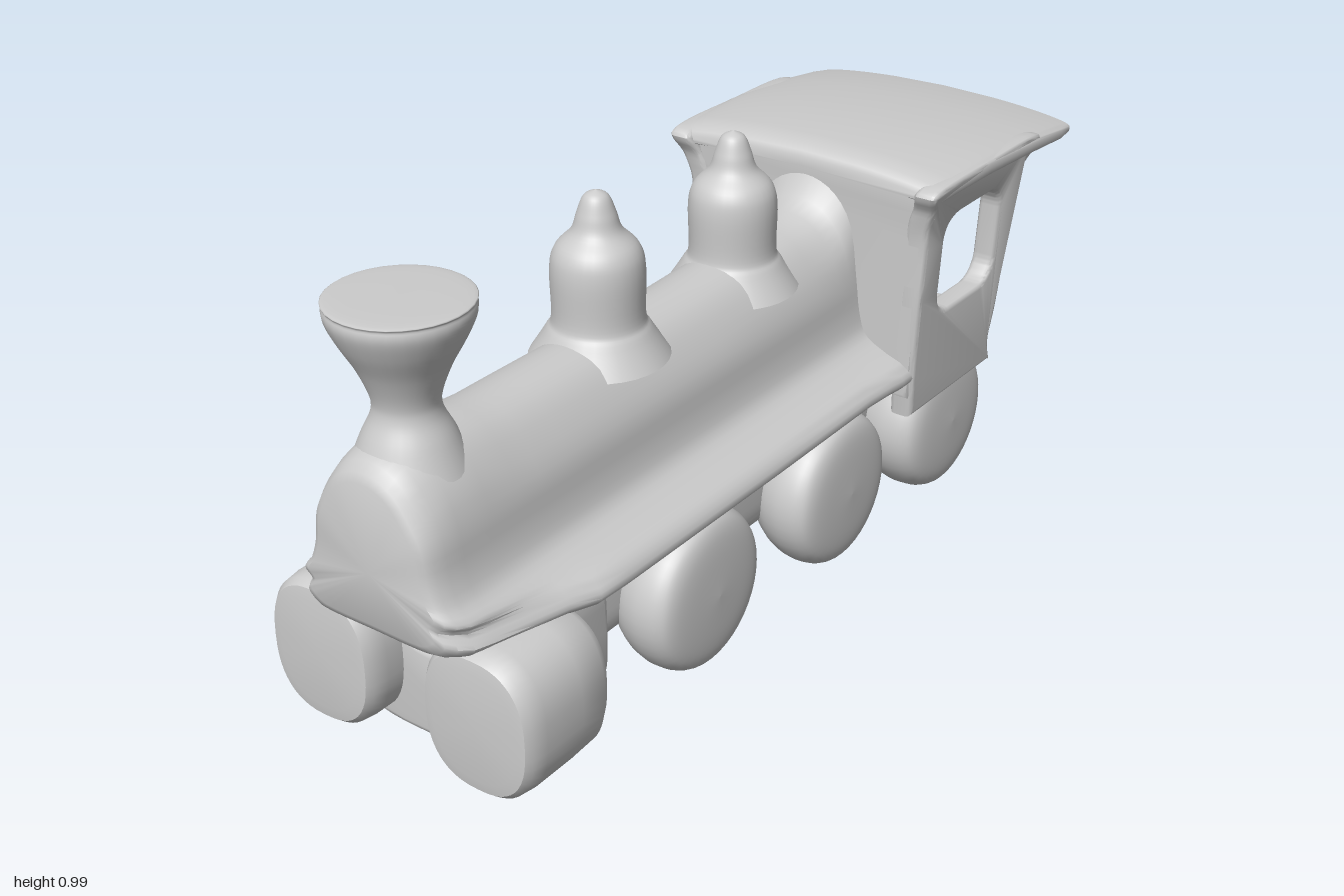
import * as THREE from 'three';
import { toCreasedNormals } from 'three/addons/utils/BufferGeometryUtils.js';
import { RoundedBoxGeometry } from 'three/addons/geometries/RoundedBoxGeometry.js';

const material = new THREE.MeshStandardMaterial({ color: 0xcccccc, roughness: 0.8 });

function add(parent, name, geometry, x = 0, y = 0, z = 0) {
  const mesh = new THREE.Mesh(geometry, material);
  mesh.name = name;
  mesh.position.set(x, y, z);
  parent.add(mesh);
  return mesh;
}

// Skin closed rings (counter-clockwise in xy) along rising z, with end caps
function loft(stations, ring, crease = 0.7) {
  const pos = [], idx = [];
  const rings = stations.map((s) => ring(...s));
  const n = rings[0].length;
  rings.forEach((r, i) => r.forEach((p) => pos.push(p.x, p.y, stations[i][0])));
  for (let i = 0; i < rings.length - 1; i++) {
    for (let j = 0; j < n; j++) {
      const k = (j + 1) % n;
      const a = i * n + j, b = i * n + k, c = b + n, d = a + n;
      idx.push(a, b, c, a, c, d);
    }
  }
  for (const end of [0, rings.length - 1]) {
    const r = rings[end], centre = pos.length / 3;
    pos.push(0, 0, stations[end][0]);
    for (const p of r) {
      pos[centre * 3] += p.x / n;
      pos[centre * 3 + 1] += p.y / n;
    }
    for (let j = 0; j < n; j++) {
      const a = end * n + j, b = end * n + (j + 1) % n;
      if (end) idx.push(centre, a, b); else idx.push(centre, b, a);
    }
  }
  const g = new THREE.BufferGeometry();
  g.setAttribute('position', new THREE.Float32BufferAttribute(pos, 3));
  g.setIndex(idx);
  return toCreasedNormals(g, crease);
}

// Rounded ring: power 2 is an ellipse, higher is boxier
function superellipse(cx, cy, rx, ry, power = 2.4, n = 48) {
  return Array.from({ length: n }, (_, i) => {
    const a = (i / n) * Math.PI * 2, c = Math.cos(a), s = Math.sin(a);
    return new THREE.Vector2(
      cx + rx * Math.sign(c) * Math.abs(c) ** (2 / power),
      cy + ry * Math.sign(s) * Math.abs(s) ** (2 / power));
  });
}

// Arched boiler section flowing out into the running boards
function boilerRing(z, top, board, scale = 1) {
  const half = [[0.12, 0.35], [board - 0.03, 0.355], [board, 0.38], [board - 0.015, 0.41],
    [0.13 + board * 0.32, 0.43], [0.168, 0.46], [0.15, 0.51], [0.14, 0.58],
    [0.115, top - 0.08], [0.065, top - 0.02]];
  const pts = [[0, 0.35], ...half, [0, top], ...half.map(([x, y]) => [-x, y]).reverse()]
    .map(([x, y]) => new THREE.Vector3(x * scale, 0.52 + (y - 0.52) * scale, 0));
  return new THREE.CatmullRomCurve3(pts, true, 'centripetal').getPoints(72).slice(0, -1);
}

// Outer half-width of the cab at height y, flaring below the roof
function cabHalfWidth(y) {
  return 0.283 + 0.06 * (y - 0.3) + 0.03 * THREE.MathUtils.smoothstep(y, 0.72, 0.85);
}

function roundedHole(x0, x1, y0, y1, r) {
  const p = new THREE.Path();
  p.absarc(x1 - r, y1 - r, r, 0, Math.PI / 2);
  p.absarc(x0 + r, y1 - r, r, Math.PI / 2, Math.PI);
  p.absarc(x0 + r, y0 + r, r, Math.PI, Math.PI * 1.5);
  p.absarc(x1 - r, y0 + r, r, Math.PI * 1.5, Math.PI * 2);
  p.closePath();
  return p;
}

// Frame block with a lengthwise tunnel under the boiler
function frameBlock(halfWidth, bottom, z0, z1) {
  const shape = new THREE.Shape(superellipse(0, (bottom + 0.39) / 2, halfWidth, (0.39 - bottom) / 2, 4));
  shape.holes.push(new THREE.Path(superellipse(0, 0.295, 0.055, 0.04, 2.4, 24)));
  const bevel = 0.015;
  const g = new THREE.ExtrudeGeometry(shape, { depth: z1 - z0 - bevel * 2, bevelEnabled: true,
    bevelSize: bevel, bevelThickness: bevel, bevelOffset: -bevel, bevelSegments: 3 });
  g.translate(0, 0, z0 + bevel);
  return toCreasedNormals(g, 0.7);
}

// Cab side with window, drawn in (-z, y) and bent to the flare
function cabSide(side) {
  const outline = new THREE.SplineCurve([[0.41, 0.28], [0.4, 0.4], [0.395, 0.55], [0.395, 0.7], [0.385, 0.78], [0.375, 0.84],
    [0.6, 0.845], [0.83, 0.835], [0.805, 0.76], [0.8, 0.68], [0.79, 0.55], [0.775, 0.42], [0.76, 0.34], [0.78, 0.28]]
    .map(([x, y]) => new THREE.Vector2(x, y)));
  const pts = outline.getPoints(80).reverse();
  const shape = new THREE.Shape(pts);
  shape.holes.push(roundedHole(0.48, 0.725, 0.51, 0.74, 0.055));
  const g = new THREE.ExtrudeGeometry(shape, { depth: 0.03, bevelEnabled: true,
    bevelSize: 0.012, bevelThickness: 0.012, bevelOffset: -0.012, bevelSegments: 3, curveSegments: 8 });
  g.translate(0, 0, -0.042);
  g.rotateY(Math.PI / 2);
  const p = g.attributes.position;
  for (let i = 0; i < p.count; i++) p.setX(i, p.getX(i) + cabHalfWidth(p.getY(i)));
  if (side < 0) {
    g.rotateY(Math.PI);
    g.translate(0, 0, -1.2);
    // turn front to back again so both sides match
    const q = g.attributes.position;
    for (let i = 0; i < q.count; i++) q.setZ(i, -1.2 - q.getZ(i));
    for (let i = 0; i < q.count; i += 3) {
      const a = [q.getX(i), q.getY(i), q.getZ(i)];
      q.setXYZ(i, q.getX(i + 1), q.getY(i + 1), q.getZ(i + 1));
      q.setXYZ(i + 1, ...a);
    }
  }
  return toCreasedNormals(g, 0.7);
}

function lathe(points, segments = 32) {
  const curve = new THREE.SplineCurve(points.map(([r, y]) => new THREE.Vector2(r, y)));
  const pts = curve.getPoints(points.length * 5);
  pts.forEach((p) => { p.x = Math.max(p.x, 0); });
  return new THREE.LatheGeometry(pts, segments);
}

export function createModel() {
  const model = new THREE.Group();
  model.name = 'steamEngine';

  // Boiler: rises into the cab wall behind, rounded at the nose
  add(model, 'boiler', loft([[-0.43, 0.86, 0.285], [-0.395, 0.80, 0.285], [-0.37, 0.755, 0.285], [-0.33, 0.732, 0.28],
    [-0.25, 0.725, 0.275], [0.1, 0.712, 0.278], [0.6, 0.715, 0.278], [0.68, 0.715, 0.275], [0.74, 0.72, 0.25],
    [0.82, 0.73, 0.23], [0.9, 0.73, 0.21], [0.94, 0.72, 0.2, 0.99], [0.965, 0.715, 0.19, 0.95],
    [0.982, 0.71, 0.185, 0.89], [0.99, 0.71, 0.185, 0.8]], boilerRing));

  // Chimney and domes
  add(model, 'chimney', lathe([[0.11, 0.66], [0.085, 0.72], [0.064, 0.765], [0.064, 0.8], [0.085, 0.855],
    [0.115, 0.91], [0.132, 0.95], [0.132, 0.972], [0.122, 0.981], [0, 0.983]]), 0, 0, 0.865);
  const dome = lathe([[0.14, 0.66], [0.105, 0.715], [0.092, 0.745], [0.093, 0.84], [0.082, 0.885],
    [0.05, 0.92], [0.038, 0.955], [0.024, 0.988], [0, 1.0]]);
  add(model, 'frontDome', dome, 0, 0, 0.33);
  add(model, 'rearDome', dome, 0, -0.018, -0.12);

  // Underframe
  add(model, 'frame', frameBlock(0.14, 0.11, -0.73, 0.62));
  add(model, 'frontFrame', frameBlock(0.2, 0.058, 0.565, 0.86));

  // Front cylinders and wheels, mirrored
  const wheel = lathe([[0, -0.1], [0.12, -0.09], [0.155, -0.06], [0.172, -0.02], [0.175, 0.015],
    [0.168, 0.045], [0.148, 0.065], [0.1, 0.075], [0, 0.08]], 40);
  for (const side of [1, -1]) {
    const label = side > 0 ? 'left' : 'right';
    add(model, label + 'Cylinder', loft([[0.7, 0.6], [0.712, 0.88], [0.735, 0.98], [0.8, 1], [0.9, 1],
      [0.935, 0.97], [0.948, 0.9], [0.952, 0.75]],
    (z, s) => superellipse(side * 0.192, 0.222, 0.13 * s, 0.155 * s, 2.5)));
    [0.3, -0.195, -0.62].forEach((z, i) => {
      const m = add(model, label + 'Wheel' + (i + 1), wheel, side * 0.19, 0.183, z);
      m.rotation.z = -side * Math.PI / 2;
      m.scale.y = i === 2 ? 1.12 : 1;
    });
    add(model, label + 'CabSide', cabSide(side));
  }

  // Cab front wall, following the flare
  const edge = Array.from({ length: 16 }, (_, i) => 0.33 + (i / 15) * 0.51)
    .map((y) => new THREE.Vector2(cabHalfWidth(y) - 0.008, y));
  const wall = new THREE.Shape([...edge, ...edge.map((p) => new THREE.Vector2(-p.x, p.y)).reverse()]);
  add(model, 'cabFrontWall', toCreasedNormals(new THREE.ExtrudeGeometry(wall, { depth: 0.025, bevelEnabled: true,
    bevelSize: 0.01, bevelThickness: 0.01, bevelOffset: -0.01, bevelSegments: 2 }), 0.7), 0, 0, -0.43);

  // Cab floor
  add(model, 'cabFloor', new RoundedBoxGeometry(0.55, 0.075, 0.37, 3, 0.025), 0, 0.385, -0.585);

  // Roof: gently crowned, thinning towards the rear
  add(model, 'roof', loft([[-1, 0.32, 0.825, 0.815], [-0.992, 0.335, 0.836, 0.805], [-0.94, 0.342, 0.846, 0.802],
    [-0.8, 0.345, 0.864, 0.812], [-0.6, 0.345, 0.876, 0.822], [-0.45, 0.341, 0.873, 0.822], [-0.4, 0.338, 0.868, 0.82],
    [-0.382, 0.334, 0.858, 0.825], [-0.376, 0.325, 0.848, 0.832]],
  (z, w, top, bottom) => {
    const r = superellipse(0, (top + bottom) / 2, w, (top - bottom) / 2, 5, 64);
    r.forEach((p) => { p.y -= 0.022 * (p.x / w) ** 2; });
    return r;
  }));

  return model;
}
